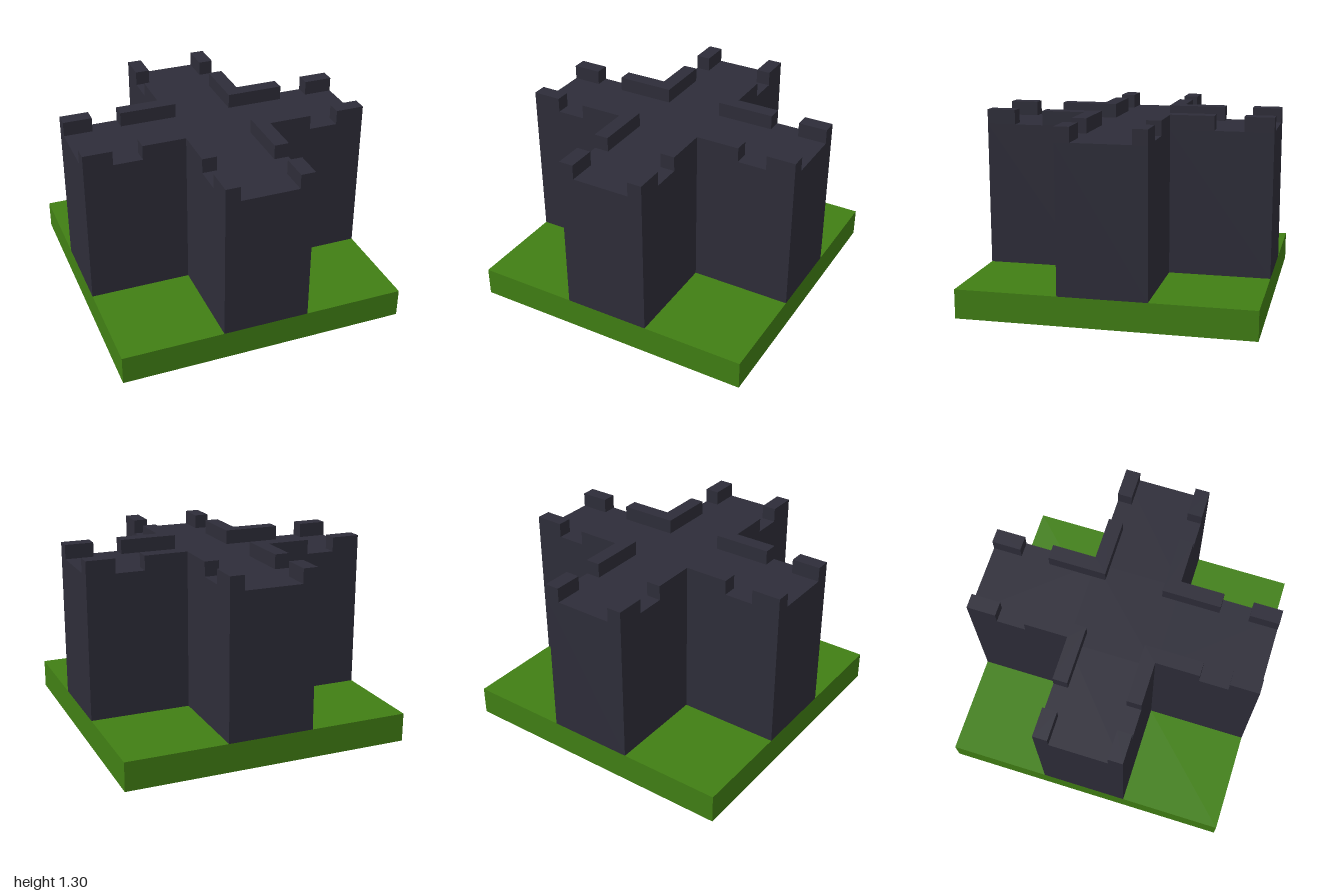
import * as THREE from 'three';

const grass = new THREE.MeshStandardMaterial({ color: 0x417f14 });
const stone = new THREE.MeshStandardMaterial({ color: 0x2e2d39 });

const BASE_TOP = 0.2, WALL_TOP = 1.2, MERLON = 0.1;

// Upright prism from a plan outline, standing on y = bottom
function prism(name, outline, bottom, height) {
  const shape = new THREE.Shape(outline.map(([x, y]) => new THREE.Vector2(x, y)));
  const geometry = new THREE.ExtrudeGeometry(shape, { depth: height, bevelEnabled: false });
  geometry.rotateX(-Math.PI / 2);
  const mesh = new THREE.Mesh(geometry, stone);
  mesh.name = name;
  mesh.position.y = bottom;
  return mesh;
}

export function createModel() {
  const model = new THREE.Group();
  model.name = 'wallCrossing';

  // Grass slab
  const ground = new THREE.Mesh(new THREE.BoxGeometry(2, BASE_TOP, 2), grass);
  ground.name = 'grassBase';
  ground.position.y = BASE_TOP / 2;
  model.add(ground);

  // Cross-shaped wall
  const a = 0.3;
  model.add(prism('crossWall', [
    [a, -1], [a, -a], [1, -a], [1, a], [a, a], [a, 1],
    [-a, 1], [-a, a], [-1, a], [-1, -a], [-a, -a], [-a, -1],
  ], BASE_TOP, WALL_TOP - BASE_TOP));

  // Battlements, repeated around the four inner corners
  for (let i = 0; i < 4; i++) {
    const corner = new THREE.Group();
    corner.name = 'battlements' + (i + 1);
    corner.rotation.y = i * Math.PI / 2;

    corner.add(prism('cornerMerlon', [
      [0.2, 0.2], [0.6, 0.2], [0.6, 0.3], [0.3, 0.3], [0.3, 0.6], [0.2, 0.6],
    ], WALL_TOP, MERLON));

    // Merlons at the wall ends
    for (const [w, d, x, z] of [[0.2, 0.1, 0.9, -0.25], [0.1, 0.2, 0.25, -0.9]]) {
      const merlon = new THREE.Mesh(new THREE.BoxGeometry(w, MERLON, d), stone);
      merlon.name = 'endMerlon';
      merlon.position.set(x, WALL_TOP + MERLON / 2, z);
      corner.add(merlon);
    }
    model.add(corner);
  }
  return model;
}
